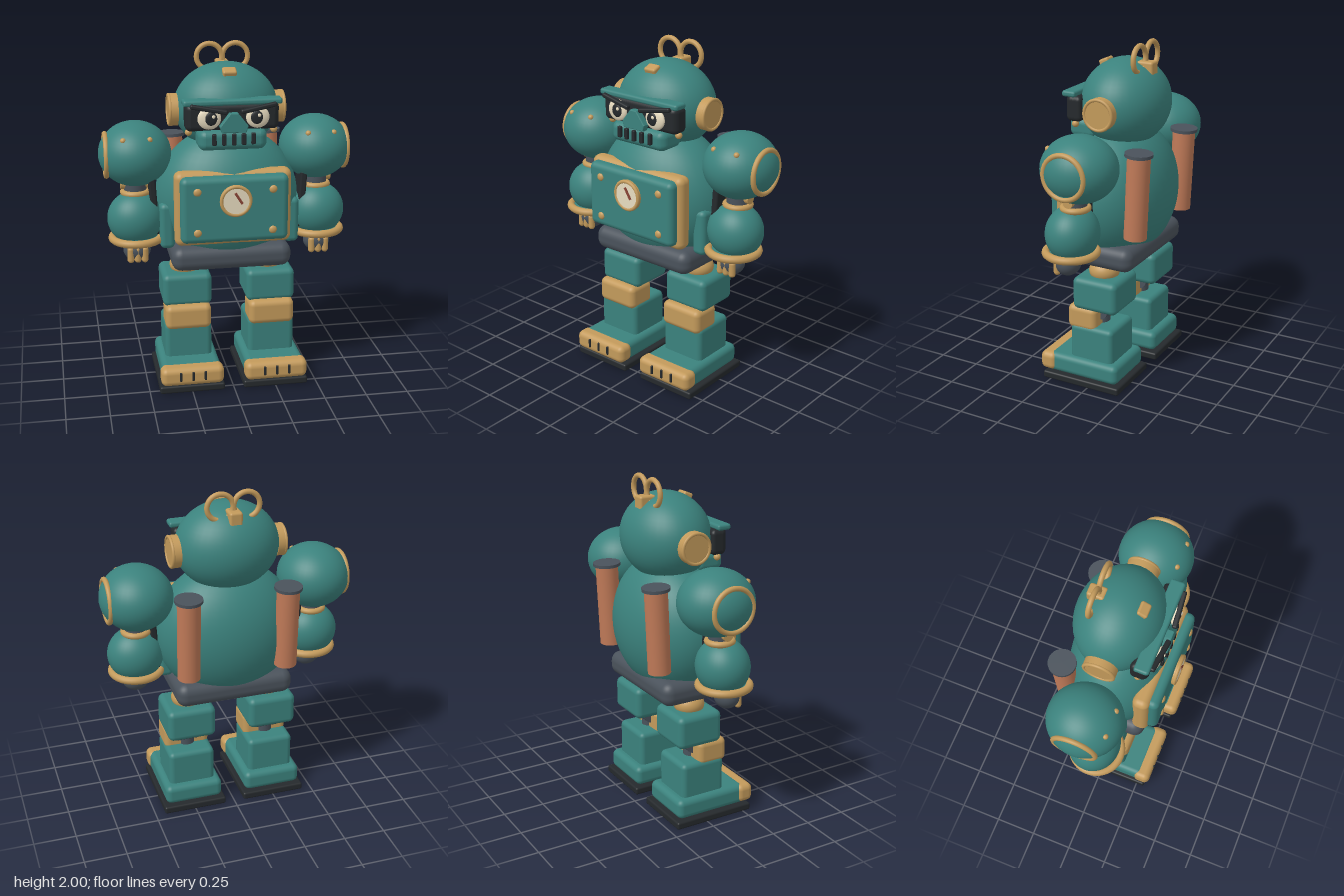
import * as THREE from 'three';
import { RoundedBoxGeometry } from 'three/addons/geometries/RoundedBoxGeometry.js';

const mat = (color) => new THREE.MeshStandardMaterial({ color });
const teal = mat(0x3b827d), gold = mat(0xc39a5b), grey = mat(0x4a525b), black = mat(0x25292c);
const copper = mat(0xc07a58), cream = mat(0xe8dcc0), red = mat(0x8a4436);

const rbox = (w, h, d, r) => new RoundedBoxGeometry(w, h, d, 4, r);
const ball = (rx, ry = rx, rz = rx) => new THREE.SphereGeometry(1, 40, 28).scale(rx, ry, rz);
const cyl = (r, h, r2 = r) => new THREE.CylinderGeometry(r, r2, h, 32);
const cylX = (r, h) => cyl(r, h).rotateZ(Math.PI / 2);
const cylZ = (r, h) => cyl(r, h).rotateX(Math.PI / 2);
const ring = (r, t) => new THREE.TorusGeometry(r, t, 12, 48);

// Bends a wide part backwards around the face
function bend(w, h, d, r, k) {
  const g = new RoundedBoxGeometry(w, h, d, 10, r);
  const p = g.attributes.position;
  for (let i = 0; i < p.count; i++) p.setZ(i, p.getZ(i) - k * p.getX(i) ** 2);
  g.computeVertexNormals();
  return g;
}

function add(parent, name, geo, material, x, y, z, rx = 0, ry = 0, rz = 0) {
  const m = new THREE.Mesh(geo, material);
  m.name = name;
  m.position.set(x, y, z);
  m.rotation.set(rx, ry, rz);
  parent.add(m);
  return m;
}

function group(parent, name) {
  const g = new THREE.Group();
  g.name = name;
  parent.add(g);
  return g;
}

function buildTorso(root) {
  const g = group(root, 'torso');
  add(g, 'body', ball(0.42, 0.41, 0.3), teal, 0, 1.12, -0.01);
  add(g, 'belt', rbox(0.7, 0.145, 0.465, 0.06), grey, 0, 0.8, 0);
  // Chest panel with rivets and gauge
  add(g, 'chestFrame', rbox(0.67, 0.435, 0.1, 0.04), gold, 0, 1.115, 0.21);
  add(g, 'chestPanel', rbox(0.615, 0.385, 0.1, 0.035), teal, 0, 1.12, 0.26);
  for (const x of [-0.215, 0.215])
    for (const y of [0.995, 1.235]) add(g, 'panelRivet', ball(0.023, 0.023, 0.014), gold, x, y, 0.308);
  add(g, 'gaugeBody', cylZ(0.09, 0.03), gold, 0, 1.18, 0.313);
  add(g, 'gaugeRim', ring(0.082, 0.011), gold, 0, 1.18, 0.326);
  add(g, 'gaugeFace', cylZ(0.075, 0.006), cream, 0, 1.18, 0.33);
  add(g, 'gaugeNeedle', new THREE.BoxGeometry(0.014, 0.075, 0.006), red, 0.014, 1.197, 0.336, 0, 0, 0.56);
  for (const s of [-1, 1]) {
    add(g, 'hipPod', rbox(0.085, 0.27, 0.17, 0.03), teal, s * 0.365, 0.985, 0.06);
    add(g, 'sideStrap', rbox(0.04, 0.34, 0.14, 0.012), black, s * 0.435, 1.095, 0.025, 0, 0, -s * 0.06);
    // Back tanks lean slightly backwards
    add(g, 'tank', cyl(0.066, 0.49), copper, s * 0.29, 1.19, -0.25, -0.045);
    add(g, 'tankCap', cyl(0.08, 0.018), grey, s * 0.29, 1.437, -0.26, -0.045);
  }
}

function buildHead(root) {
  const g = group(root, 'head');
  add(g, 'skull', ball(0.3, 0.255, 0.25), teal, 0, 1.645, -0.03);
  // Face
  add(g, 'visor', bend(0.53, 0.15, 0.1, 0.03, 0.5), black, 0, 1.632, 0.2);
  add(g, 'brow', bend(0.56, 0.034, 0.085, 0.014, 0.4), teal, 0, 1.718, 0.22);
  add(g, 'jaw', bend(0.39, 0.115, 0.17, 0.04, 0.6), teal, 0, 1.505, 0.175);
  for (let i = -2; i <= 2; i++)
    add(g, 'mouthSlot', rbox(0.024, 0.064, 0.02, 0.005), black, i * 0.055, 1.517, 0.261 - 0.0018 * i * i);
  const nose = new THREE.Shape([[-0.065, 0], [0.065, 0], [0.075, 0.03], [0.02, 0.1], [-0.02, 0.1], [-0.075, 0.03]]
    .map(([x, y]) => new THREE.Vector2(x, y)));
  add(g, 'nose', new THREE.ExtrudeGeometry(nose, {
    depth: 0.03, bevelEnabled: true, bevelSize: 0.005, bevelThickness: 0.006, bevelSegments: 2,
  }), teal, 0, 1.56, 0.232);
  for (const s of [-1, 1]) {
    add(g, 'eye', ball(0.066, 0.062, 0.022), cream, s * 0.136, 1.635, 0.238);
    add(g, 'pupil', ball(0.034, 0.038, 0.01), black, s * 0.128, 1.637, 0.256);
    add(g, 'eyeGlint', ball(0.01, 0.01, 0.005), cream, s * 0.128 + 0.012, 1.65, 0.265);
    add(g, 'eyelid', rbox(0.21, 0.026, 0.03, 0.01), black, s * 0.14, 1.688, 0.25, 0, s * 0.1, s * 0.17);
    add(g, 'jawBolt', ball(0.02), gold, s * 0.243, 1.545, 0.165);
    add(g, 'ear', cylX(0.093, 0.05), gold, s * 0.307, 1.635, -0.025);
    add(g, 'earRim', ring(0.085, 0.01), gold, s * 0.328, 1.635, -0.025, 0, Math.PI / 2);
    add(g, 'windKeyLoop', ring(0.074, 0.015), gold, s * 0.076, 1.911, -0.15);
  }
  add(g, 'windKeyBase', rbox(0.075, 0.09, 0.1, 0.014), gold, 0, 1.845, -0.16);
  add(g, 'crownStud', rbox(0.08, 0.04, 0.06, 0.012), gold, 0, 1.862, 0.098, 0.4);
}

function buildArm(root, s) {
  const g = group(root, s > 0 ? 'leftArm' : 'rightArm');
  add(g, 'shoulder', ball(0.21, 0.188, 0.218), teal, s * 0.53, 1.388, -0.025);
  add(g, 'shoulderRing', ring(0.122, 0.015), gold, s * 0.698, 1.385, -0.022, 0, Math.PI / 2);
  add(g, 'shoulderDisc', cylX(0.118, 0.02), teal, s * 0.692, 1.385, -0.022);
  for (const x of [0.455, 0.605]) add(g, 'shoulderRivet', ball(0.016), gold, s * x, 1.5, 0.125);
  // Elbow
  add(g, 'elbowPost', cyl(0.065, 0.16), grey, s * 0.535, 1.2, 0);
  add(g, 'elbowCollar', ring(0.07, 0.018), gold, s * 0.535, 1.165, 0, Math.PI / 2);
  add(g, 'elbowPin', cylX(0.03, 0.17), gold, s * 0.535, 1.215, 0);
  // Forearm dome cut flat by the cuff
  const dome = new THREE.SphereGeometry(1, 40, 24, 0, Math.PI * 2, 0, 2.4).scale(0.165, 0.16, 0.15);
  add(g, 'forearm', dome, teal, s * 0.537, 1.015, 0.02);
  add(g, 'cuff', ring(0.142, 0.023), gold, s * 0.535, 0.9, 0.032, Math.PI / 2);
  add(g, 'cuffPlate', cyl(0.135, 0.02), teal, s * 0.535, 0.9, 0.032);
  // Hand
  add(g, 'palm', ball(0.08, 0.07, 0.07), grey, s * 0.537, 0.83, 0.05);
  for (let i = -1; i <= 1; i++)
    add(g, 'finger', new THREE.CapsuleGeometry(0.02, 0.06, 6, 12), gold, s * 0.537 + i * 0.041, 0.813, 0.1);
}

function buildLeg(root, s) {
  const g = group(root, s > 0 ? 'leftLeg' : 'rightLeg');
  const x = s * 0.25;
  add(g, 'hipJoint', ball(0.09, 0.07, 0.09), gold, x, 0.695, -0.02);
  add(g, 'thigh', rbox(0.29, 0.198, 0.285, 0.035), teal, x, 0.573, -0.022);
  add(g, 'kneeJoint', cylX(0.055, 0.13), grey, x, 0.455, -0.015);
  add(g, 'kneePost', cyl(0.05, 0.16), grey, x, 0.42, 0.0);
  add(g, 'kneePad', rbox(0.272, 0.15, 0.188, 0.035), gold, x, 0.415, 0.066);
  add(g, 'shin', rbox(0.278, 0.25, 0.278, 0.03), teal, x, 0.247, 0);
  // Foot
  add(g, 'foot', rbox(0.35, 0.12, 0.46, 0.035), teal, x, 0.106, 0.045);
  add(g, 'toeCap', rbox(0.372, 0.112, 0.105, 0.035), gold, x, 0.109, 0.272);
  add(g, 'sole', rbox(0.385, 0.045, 0.505, 0.012), black, x, 0.0225, 0.047);
  for (let i = -1; i <= 1; i++)
    add(g, 'toeSlot', rbox(0.014, 0.055, 0.014, 0.004), black, x + i * 0.073, 0.117, 0.325);
}

export function createModel() {
  const root = new THREE.Group();
  root.name = 'toyRobot';
  buildTorso(root);
  buildHead(root);
  for (const s of [-1, 1]) {
    buildArm(root, s);
    buildLeg(root, s);
  }
  return root;
}
